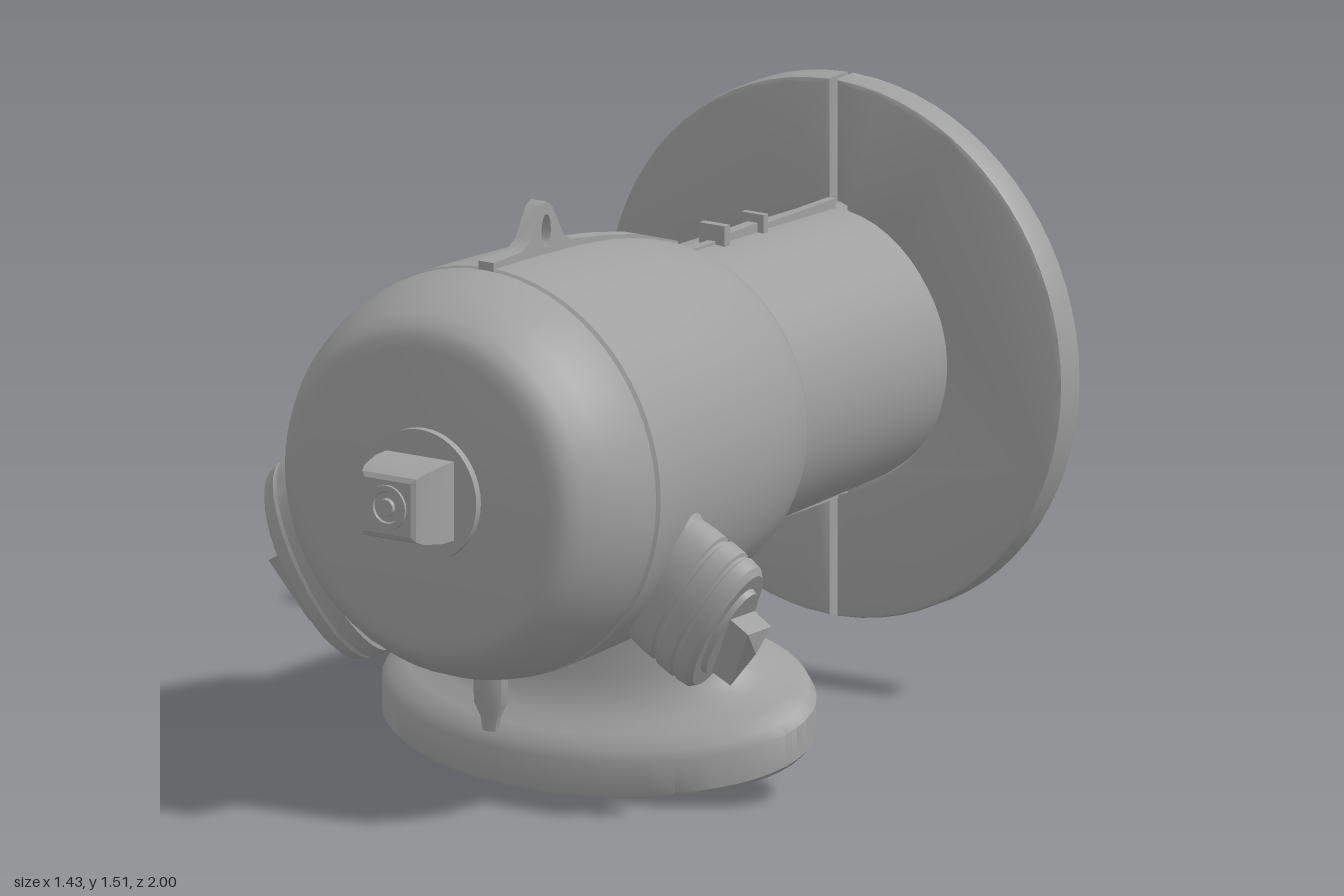
import * as THREE from 'three';
import { toCreasedNormals } from 'three/addons/utils/BufferGeometryUtils.js';

const CX = 0.02, CY = 0.85; // main axis of the barrel

export function createModel() {
  const model = new THREE.Group();
  model.name = 'hydrant';
  const grey = new THREE.MeshStandardMaterial({ color: 0xa0a0a0, side: THREE.DoubleSide });
  grey.name = 'cast grey';

  const add = (name, geometry, parent = model, crease = 0.6) => {
    const mesh = new THREE.Mesh(toCreasedNormals(geometry, crease), grey);
    mesh.name = name;
    parent.add(mesh);
    return mesh;
  };
  const lathe = (points, sides = 48) =>
    new THREE.LatheGeometry(points.map(([r, h]) => new THREE.Vector2(r, h)), sides);
  const box = (name, w, h, d, x, y, z) =>
    add(name, new THREE.BoxGeometry(w, h, d).translate(x, y, z));
  const bend = (geometry, rule) => {
    const p = geometry.attributes.position;
    for (let i = 0; i < p.count; i++) {
      const [x, y, z] = rule(p.getX(i), p.getY(i), p.getZ(i));
      p.setXYZ(i, x, y, z);
    }
    return geometry;
  };

  // Barrel, its underside cut away around the outlet
  const barrel = lathe([
    [0.34, -0.25], [0.385, -0.235], [0.405, -0.22], [0.42, -0.19], [0.435, -0.14], [0.447, -0.1],
    [0.465, -0.02], [0.48, 0.06], [0.489, 0.14], [0.496, 0.22], [0.5, 0.3], [0.507, 0.45],
    [0.51, 0.565], [0.5, 0.572], [0.49, 0.572],
  ], 64).rotateX(Math.PI / 2).translate(CX, CY, 0);
  add('barrel', bend(barrel, (x, y, z) => {
    const floor = Math.min(0.56, 0.43 + (z + 0.21) * 1.18, 0.56 - (z - 0.1) * 1.2);
    return [x, z > -0.22 ? Math.max(y, floor) : y, z];
  }));

  // Domed front cap
  add('frontCap', lathe([
    [0.49, 0.575], [0.507, 0.58], [0.507, 0.6], [0.497, 0.66], [0.474, 0.73], [0.44, 0.79],
    [0.415, 0.818], [0.392, 0.828], [0.36, 0.832], [0, 0.832],
  ], 64).rotateX(Math.PI / 2).translate(CX, CY, 0));

  // Bolt on the front cap: washer, tapered square head, ringed boss
  add('frontWasher', lathe([[0.165, 0.825], [0.165, 0.852], [0, 0.852]])
    .rotateX(Math.PI / 2).translate(CX, CY, 0));
  const head = lathe([
    [0.14, 0.85], [0.138, 0.9], [0.125, 0.96], [0.112, 0.985], [0.095, 0.992], [0, 0.992],
  ], 4).rotateY(Math.PI / 4).rotateX(Math.PI / 2);
  add('frontBolt', head.translate(CX, CY, 0), model, 0.5);
  add('frontBoss', lathe([
    [0.058, 0.985], [0.055, 0.997], [0.04, 0.997], [0.036, 0.99], [0.024, 0.99],
    [0.02, 1], [0, 1],
  ], 24).rotateX(Math.PI / 2).translate(CX, CY, 0));

  // Neck running back to the wall flange
  add('neck', lathe([[0, -0.993], [0.338, -0.993], [0.345, -0.9], [0.355, -0.6], [0.366, -0.2]])
    .rotateX(Math.PI / 2).scale(0.94, 1, 1).translate(CX, CY + 0.007, 0));

  // Wall flange in two halves with a narrow split
  const R = 0.66, r = 0.342, gap = 0.02;
  for (const side of [-1, 1]) {
    const shape = new THREE.Shape();
    const a = Math.acos(gap / R), b = Math.acos(0.05 / r);
    shape.absarc(0, 0, R, -a, a, false);
    shape.lineTo(gap, 0.375);
    shape.lineTo(0.05, 0.365);
    shape.absarc(0, 0, r, b, -b, true);
    shape.lineTo(0.05, -0.365);
    shape.lineTo(gap, -0.375);
    const half = new THREE.ExtrudeGeometry(shape, {
      depth: 0.065, bevelThickness: 0.01, bevelSize: 0.012, bevelSegments: 2, curveSegments: 18,
    });
    if (side < 0) half.rotateZ(Math.PI);
    add(side < 0 ? 'rightFlangeHalf' : 'leftFlangeHalf', half.translate(CX, CY, -0.99));
  }

  // Oval outlet with a slanted foot flange
  const ZC = 0.085, SQ = 0.48;
  const slant = (x, y, z) =>
    [x + CX, y - 0.386 * z * THREE.MathUtils.clamp((0.65 - y) / 0.3, 0, 1), z + ZC];
  add('outlet', bend(lathe([
    [0, 0.32], [0.27, 0.32], [0.27, 0.2], [0.31, 0.2], [0.31, 0.09], [0.375, 0.09],
    [0.375, 0.17], [0.54, 0.17], [0.55, 0.125], [0.595, 0.122], [0.607, 0.135], [0.607, 0.215],
    [0.59, 0.24], [0.54, 0.262], [0.47, 0.28], [0.42, 0.31], [0.392, 0.36], [0.38, 0.43],
    [0.378, 0.52], [0.385, 0.62], [0.405, 0.68], [0.44, 0.74],
  ], 56).scale(1, 1, SQ), slant));
  for (const side of [-1, 1]) {
    add('outletRib', bend(new THREE.BoxGeometry(0.19, 0.06, 0.035)
      .translate(side * 0.46, 0.15, 0), slant));
  }

  // Side nozzles, flattened front to back, each with a three-sided nut
  const nozzle = (name, side, profile, nutBase, z) => {
    const group = new THREE.Group();
    group.name = name;
    group.position.set(CX, CY, z);
    group.rotation.z = -side * Math.PI * 2 / 3;
    group.scale.z = 0.5;
    model.add(group);
    add('nozzleCap', lathe(profile, 40), group);
    add('nozzleNut', lathe([
      [0.12, nutBase], [0.115, nutBase + 0.075], [0, nutBase + 0.095],
    ], 3).rotateY(side * Math.PI / 2), group, 0.3);
  };
  nozzle('leftNozzle', 1, [
    [0.31, 0.37], [0.25, 0.42], [0.2, 0.455], [0.185, 0.48], [0.19, 0.525], [0.19, 0.56],
    [0.182, 0.565], [0.182, 0.575], [0.192, 0.58], [0.192, 0.625], [0.184, 0.63],
    [0.184, 0.638], [0.19, 0.643], [0.186, 0.675], [0.17, 0.69], [0.13, 0.69],
    [0.125, 0.705], [0, 0.705],
  ], 0.69, 0.405);
  nozzle('rightNozzle', -1, [
    [0.31, 0.37], [0.24, 0.42], [0.198, 0.46], [0.2, 0.49], [0.245, 0.525], [0.265, 0.55],
    [0.265, 0.595], [0.257, 0.6], [0.257, 0.61], [0.266, 0.615], [0.266, 0.66],
    [0.257, 0.665], [0.262, 0.675], [0.252, 0.71], [0.235, 0.722], [0.15, 0.722],
    [0.145, 0.74], [0, 0.74],
  ], 0.725, 0.4);

  // Seam ridge over the barrel with a pierced lifting lug
  const fin = new THREE.Shape();
  [[0.57, 1.3], [0.57, 1.375], [0.45, 1.377], [0.41, 1.4], [0.368, 1.47], [0.345, 1.482],
    [0.322, 1.47], [0.27, 1.385], [0.24, 1.366], [0.1, 1.347], [-0.05, 1.318], [-0.22, 1.265],
    [-0.22, 1.2]].forEach(([z, y], i) => (i ? fin.lineTo(z, y) : fin.moveTo(z, y)));
  const eye = new THREE.Path();
  eye.absellipse(0.345, 1.41, 0.02, 0.04, 0, Math.PI * 2);
  fin.holes.push(eye);
  add('liftingLug', new THREE.ExtrudeGeometry(fin, { depth: 0.045, bevelEnabled: false, curveSegments: 10 })
    .rotateY(-Math.PI / 2).translate(CX + 0.0225, 0, 0));

  // Neck ridges and tabs
  box('topRidge', 0.022, 0.04, 0.67, CX, 1.205, -0.575);
  box('bottomRidge', 0.03, 0.06, 0.34, CX, 0.505, -0.75);
  box('frontTab', 0.075, 0.08, 0.022, CX, 1.226, -0.408);
  box('rearTab', 0.065, 0.07, 0.018, CX, 1.222, -0.58);
  box('tabBridge', 0.03, 0.05, 0.17, CX, 1.21, -0.49);

  // Drain peg under the front of the barrel
  add('drainPeg', lathe([
    [0, 0.2], [0.022, 0.2], [0.028, 0.235], [0.046, 0.27], [0.048, 0.36],
  ], 12).scale(1, 1, 0.6).translate(CX, 0, 0.55));

  return model;
}
